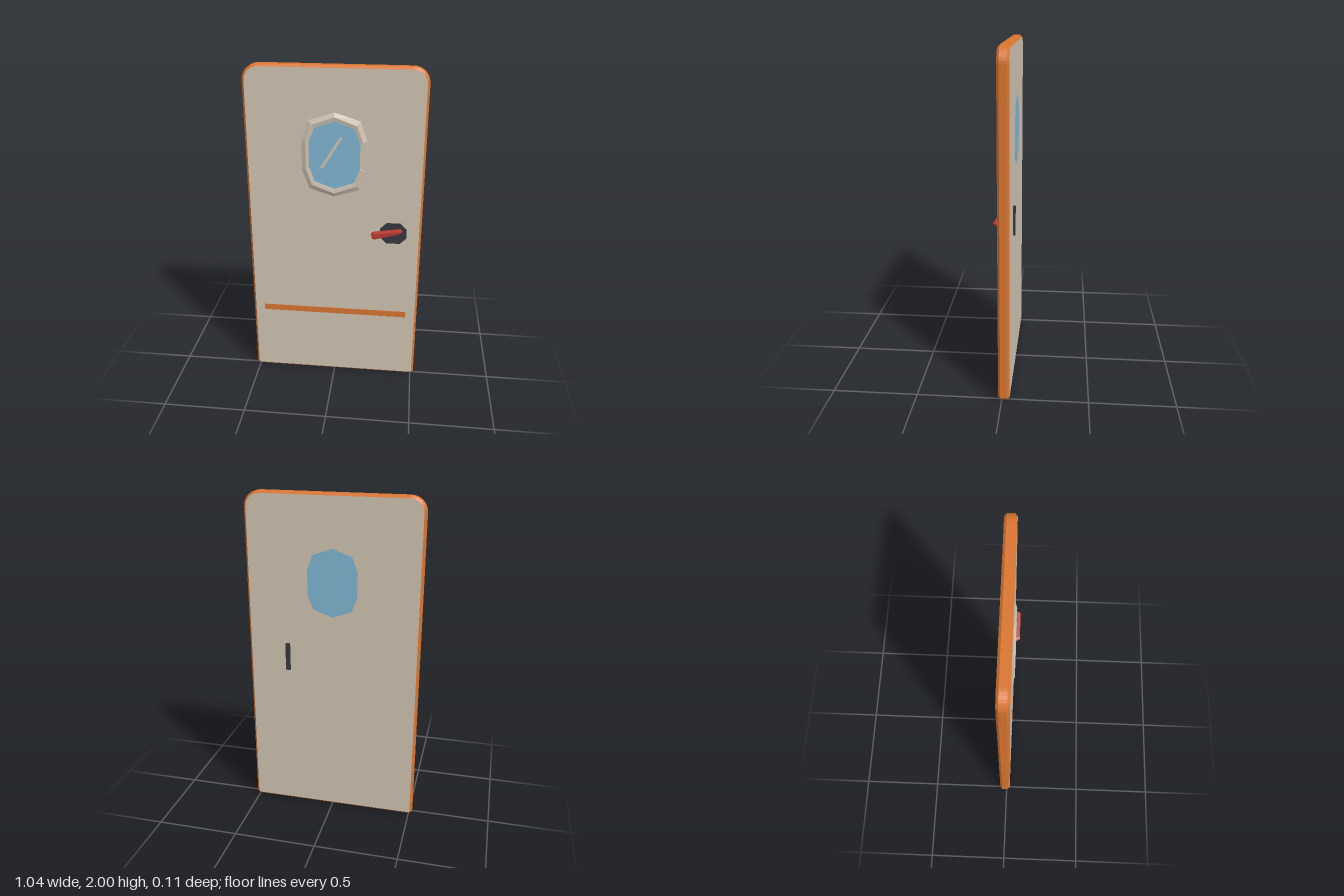
import * as THREE from 'three';

const mat = (name, color) => {
  const m = new THREE.MeshStandardMaterial({ color });
  m.name = name;
  return m;
};

const FRONT = 0.022, BACK = -0.045;

export function createModel() {
  const cream = mat('cream panel', 0xcfc3b2);
  const orange = mat('orange trim', 0xd8742f);
  const blue = mat('blue glass', 0x80b5d2);
  const dark = mat('dark metal', 0x35383e);
  const red = mat('red handle', 0xb93a32);

  const door = new THREE.Group();
  door.name = 'door';
  const add = (name, geometry, material) => {
    const mesh = new THREE.Mesh(geometry, material);
    mesh.name = name;
    door.add(mesh);
    return mesh;
  };
  // Flat plate from an outline, spanning z0 to z1
  const plate = (pts, z0, z1) => {
    const shape = new THREE.Shape(pts.map(([x, y]) => new THREE.Vector2(x, y)));
    return new THREE.ExtrudeGeometry(shape, { depth: z1 - z0, bevelEnabled: false }).translate(0, 0, z0);
  };

  // Door leaf: cream faces, orange bevelled edge, rounded top corners
  const b = 0.013, w = 0.52 - b, top = 2 - b, r = 0.08, c = 0.008;
  const outline = new THREE.Shape();
  outline.moveTo(-w + c, b);
  outline.lineTo(w - c, b);
  outline.lineTo(w, b + c);
  outline.lineTo(w, top - r);
  outline.absarc(w - r, top - r, r, 0, Math.PI / 2, false);
  outline.lineTo(-w + r, top);
  outline.absarc(-w + r, top - r, r, Math.PI / 2, Math.PI, false);
  outline.lineTo(-w, b + c);
  outline.closePath();
  const leaf = new THREE.ExtrudeGeometry(outline, {
    depth: FRONT - BACK - 2 * b, bevelEnabled: true, bevelSize: b,
    bevelThickness: b, bevelSegments: 1, curveSegments: 4,
  }).translate(0, 0, BACK + b);
  add('doorLeaf', leaf, [cream, orange]);

  // Ten-sided porthole outlines, counter-clockwise from the right of the gap
  const cy = 1.49;
  const decagon = (sx, sy, mx, my, h) => [
    [sx, sy], [mx, my], [0, h], [-mx, my], [-sx, sy],
    [-sx, -sy], [-mx, -my], [0, -h], [mx, -my], [sx, -sy],
  ].map(([x, y]) => [x, y + cy]);
  const inner = decagon(0.148, 0.075, 0.115, 0.162, 0.204);
  const crest = decagon(0.165, 0.082, 0.13, 0.18, 0.228);
  const outer = decagon(0.193, 0.093, 0.152, 0.207, 0.256);

  // Glass seen from both sides
  add('windowGlass', plate(inner, BACK - 0.001, FRONT + 0.001), blue);

  // Raised window frame, open on one side
  const rings = [[outer, FRONT - 0.002], [crest, 0.035], [inner, 0.031], [inner, FRONT - 0.002]];
  const pos = [];
  const p = (i, j) => [...rings[j][0][i], rings[j][1]];
  const quad = (a, b2, c2, d) => pos.push(...a, ...b2, ...c2, ...a, ...c2, ...d);
  for (let i = 0; i < 9; i++) {
    for (let j = 0; j < 3; j++) quad(p(i, j), p(i + 1, j), p(i + 1, j + 1), p(i, j + 1));
  }
  quad(p(0, 0), p(0, 1), p(0, 2), p(0, 3));
  quad(p(9, 3), p(9, 2), p(9, 1), p(9, 0));
  const frame = new THREE.BufferGeometry();
  frame.setAttribute('position', new THREE.Float32BufferAttribute(pos, 3));
  frame.computeVertexNormals();
  add('windowFrame', frame, cream);

  // Slanted glint on the glass
  add('windowGlint', plate([[-0.086, 1.412], [-0.066, 1.412], [0.05, 1.6], [0.03, 1.6]],
    FRONT, FRONT + 0.003), cream);

  // Lower stripe
  add('lowerStripe', plate([[-0.45, 0.433], [0.45, 0.433], [0.45, 0.472], [-0.45, 0.472]],
    FRONT - 0.001, FRONT + 0.002), orange);

  // Handle backplate with cut corners
  const k = 0.038;
  add('handlePlate', plate([
    [0.275 + k, 0.95], [0.433 - k, 0.95], [0.433, 0.95 + k], [0.433, 1.082 - k],
    [0.433 - k, 1.082], [0.275 + k, 1.082], [0.275, 1.082 - k], [0.275, 0.95 + k],
  ], FRONT - 0.001, FRONT + 0.004), dark);

  // Tapered lever, sloping gently, with a bevelled front
  const lever = new THREE.Shape([
    [-0.082, -0.012], [-0.07, -0.016], [0.083, -0.007], [0.088, 0],
    [0.083, 0.007], [-0.07, 0.016], [-0.082, 0.012],
  ].map(([x, y]) => new THREE.Vector2(x, y)));
  const leverMesh = add('handleLever', new THREE.ExtrudeGeometry(lever, {
    depth: 0.01, bevelEnabled: true, bevelSize: 0.007, bevelThickness: 0.018, bevelSegments: 1,
  }), red);
  leverMesh.position.set(0.312, 1.017, 0.027);
  leverMesh.rotation.z = 0.22;

  // Pull bar on the back
  add('backPull', new THREE.BoxGeometry(0.026, 0.17, 0.015).translate(0.275, 1.018, BACK - 0.007), dark);

  return door;
}
